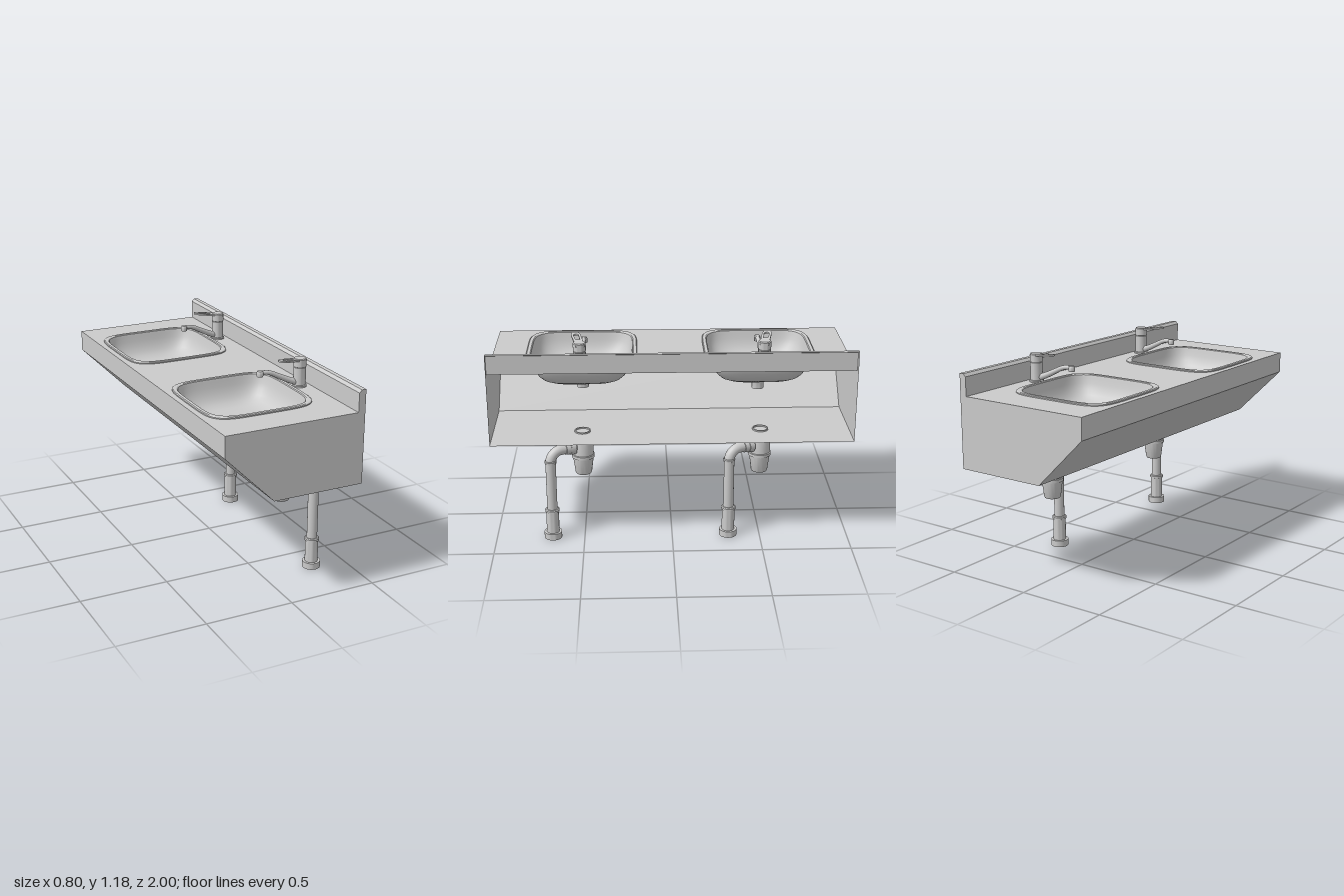
import * as THREE from 'three';
import { toCreasedNormals } from 'three/addons/utils/BufferGeometryUtils.js';

const V = (x, y, z) => new THREE.Vector3(x, y, z);
const grey = new THREE.MeshStandardMaterial({ color: 0xcccccc });
const sheet = new THREE.MeshStandardMaterial({ color: 0xcccccc, side: THREE.DoubleSide });
const TOP = 1.01, BOWL_X = -0.056;

function add(parent, name, geometry, material = grey) {
  const mesh = new THREE.Mesh(geometry, material);
  mesh.name = name;
  parent.add(mesh);
  return mesh;
}

// Turned part from [radius, height] pairs listed bottom to top
function turned(parent, name, profile, x = 0, z = 0) {
  const g = new THREE.LatheGeometry(profile.map(p => new THREE.Vector2(...p)), 32);
  const mesh = add(parent, name, toCreasedNormals(g, 0.6), sheet);
  mesh.position.set(x, 0, z);
  return mesh;
}

// Rounded-square outline with gently bulging sides
function outline(half, n = 5, segments = 96) {
  return Array.from({ length: segments }, (_, i) => {
    const a = (i / segments) * Math.PI * 2, c = Math.cos(a), s = Math.sin(a);
    const r = half / Math.pow(Math.abs(c) ** n + Math.abs(s) ** n, 1 / n);
    return [r * c, r * s];
  });
}

// Surface through outlines given as [half width, height, corner exponent]
function loft(levels) {
  const pos = [], idx = [], m = 96;
  for (const [half, y, n] of levels) for (const [x, z] of outline(half, n, m)) pos.push(x, y, z);
  for (let j = 0; j < levels.length - 1; j++) {
    for (let i = 0; i < m; i++) {
      const a = j * m + i, b = j * m + (i + 1) % m;
      idx.push(a, b, a + m, b, b + m, a + m);
    }
  }
  const g = new THREE.BufferGeometry();
  g.setAttribute('position', new THREE.Float32BufferAttribute(pos, 3));
  g.setIndex(idx);
  g.computeVertexNormals();
  return g;
}

// Thin-walled body, open at the back (+x)
function buildCabinet(root) {
  const cabinet = new THREE.Group();
  cabinet.name = 'cabinet';
  root.add(cabinet);

  const strip = (name, [x0, y0], [x1, y1]) => {
    const g = new THREE.PlaneGeometry(Math.hypot(x1 - x0, y1 - y0), 2);
    g.rotateX(-Math.PI / 2);
    g.rotateZ(Math.atan2(y1 - y0, x1 - x0));
    g.translate((x0 + x1) / 2, (y0 + y1) / 2, 0);
    add(cabinet, name, g, sheet);
  };
  const profile = [[0.4, 0.61], [-0.12, 0.61], [-0.4, 0.89], [-0.4, TOP],
    [0.36, TOP], [0.36, 1.115], [0.375, 1.13], [0.4, 1.13]];
  const names = ['floorPanel', 'slopedPanel', 'frontEdge', 'worktop',
    'splashback', 'splashbackChamfer', 'splashbackTop'];
  names.forEach((name, i) => {
    if (name !== 'worktop') strip(name, profile[i], profile[i + 1]);
  });

  const endShape = new THREE.Shape(profile.map(p => new THREE.Vector2(...p)));
  for (const z of [-1, 1]) {
    add(cabinet, 'endPanel', new THREE.ShapeGeometry(endShape), sheet).position.z = z;
  }

  // Worktop with two basin cut-outs
  const top = new THREE.Shape([[-0.4, -1], [0.36, -1], [0.36, 1], [-0.4, 1]]
    .map(p => new THREE.Vector2(...p)));
  for (const z of [-0.5, 0.5]) {
    top.holes.push(new THREE.Path(outline(0.295).map(([x, y]) =>
      new THREE.Vector2(x + BOWL_X, y + z))));
  }
  add(cabinet, 'worktop', new THREE.ShapeGeometry(top).rotateX(-Math.PI / 2), sheet)
    .position.y = TOP;
}

function buildBasin(unit, tailEnd) {
  const rim = [[0.312, TOP, 5], [0.312, 1.016, 5], [0.307, 1.02, 5],
    [0.29, 1.02, 5], [0.285, 1.016, 5]];
  add(unit, 'basinRim', toCreasedNormals(loft(rim), 0.5), sheet).position.x = BOWL_X;
  const bowl = [[0.285, 1.016, 5], [0.281, 1.0, 5], [0.275, 0.97, 5], [0.265, 0.94, 4.8],
    [0.25, 0.91, 4.5], [0.228, 0.885, 4.2], [0.195, 0.867, 4], [0.15, 0.86, 3.5],
    [0.08, 0.858, 3], [0.001, 0.857, 2]];
  add(unit, 'basinBowl', loft(bowl), sheet).position.x = BOWL_X;
  turned(unit, 'drain', [[0, tailEnd], [0.034, tailEnd], [0.034, 0.855], [0.037, 0.861],
    [0.03, 0.862], [0.025, 0.86], [0, 0.86]]);
}

function buildTap(unit, side) {
  const tap = new THREE.Group();
  tap.name = 'tap';
  tap.position.set(0.3, 0, 0);
  unit.add(tap);
  turned(tap, 'tapBody', [[0.04, TOP], [0.04, 1.017], [0.034, 1.021], [0.034, 1.118],
    [0.032, 1.12], [0.035, 1.122], [0.035, 1.163], [0.031, 1.168], [0, 1.168]]);

  // Tapered spout with a downturned nozzle
  const spout = new THREE.Group();
  spout.name = 'spout';
  spout.rotation.y = -side * 0.075;
  tap.add(spout);
  const path = new THREE.CatmullRomCurve3([V(-0.02, 1.034, 0), V(-0.07, 1.054, 0),
    V(-0.13, 1.083, 0), V(-0.175, 1.104, 0), V(-0.205, 1.11, 0), V(-0.238, 1.11, 0)]);
  const tube = new THREE.TubeGeometry(path, 24, 0.018, 16);
  const p = tube.attributes.position;
  for (let i = 0; i < p.count; i++) {
    const t = Math.floor(i / 17) / 24, c = path.getPointAt(t), v = V().fromBufferAttribute(p, i);
    v.sub(c).multiplyScalar(1 - 0.4 * t).add(c);
    p.setXYZ(i, v.x, v.y, v.z);
  }
  add(spout, 'spoutArm', tube, sheet);
  turned(spout, 'nozzle', [[0, 1.09], [0.017, 1.09], [0.018, 1.095], [0.018, 1.113],
    [0.014, 1.121], [0, 1.122]], -0.234);

  // Flat lever with a long slot
  const shape = new THREE.Shape();
  shape.moveTo(0.03, -0.024);
  shape.lineTo(-0.1, -0.026);
  shape.quadraticCurveTo(-0.15, -0.025, -0.15, 0);
  shape.quadraticCurveTo(-0.15, 0.025, -0.1, 0.026);
  shape.lineTo(0.03, 0.024);
  const slot = new THREE.Path();
  slot.moveTo(-0.05, -0.012);
  slot.lineTo(-0.05, 0.012);
  slot.lineTo(-0.11, 0.014);
  slot.quadraticCurveTo(-0.135, 0, -0.11, -0.014);
  slot.closePath();
  shape.holes.push(slot);
  const g = new THREE.ExtrudeGeometry(shape, { depth: 0.009, bevelEnabled: false, curveSegments: 10 });
  const lever = add(tap, 'lever', g.rotateX(-Math.PI / 2));
  lever.position.y = 1.153;
  lever.rotation.set(0, side * 0.2, -0.12, 'YXZ');
}

function buildTrap(unit) {
  const trap = new THREE.Group();
  trap.name = 'wasteTrap';
  unit.add(trap);
  const cx = 0.203, px = 0.303, pz = 0.18, py = 0.527;
  turned(trap, 'trapCup', [[0, 0.358], [0.043, 0.358], [0.047, 0.366], [0.058, 0.455],
    [0.064, 0.457], [0.064, 0.474], [0.059, 0.477], [0.057, 0.53], [0.05, 0.569],
    [0.042, 0.572], [0.042, 0.6], [0.045, 0.602], [0.045, 0.618], [0.038, 0.618],
    [0.038, 0.6], [0, 0.6]], cx);

  // Outlet pipe: sideways from the cup, then down
  const dir = V(px - cx, 0, pz).normalize();
  const corner = V(px, py, pz), bend = corner.clone().addScaledVector(dir, -0.065);
  const path = new THREE.CurvePath();
  path.add(new THREE.LineCurve3(V(cx, py, 0), bend));
  path.add(new THREE.CubicBezierCurve3(bend, bend.clone().addScaledVector(dir, 0.036),
    V(px, py - 0.029, pz), V(px, py - 0.065, pz)));
  path.add(new THREE.LineCurve3(V(px, py - 0.065, pz), V(px, 0.15, pz)));
  add(trap, 'outletPipe', new THREE.TubeGeometry(path, 90, 0.029, 24), sheet);

  // Union nut on the outlet
  for (const [r, d, len] of [[0.042, 0.073, 0.03], [0.036, 0.1, 0.03]]) {
    const nut = add(trap, 'unionNut', new THREE.CylinderGeometry(r * 0.94, r, len, 24));
    nut.quaternion.setFromUnitVectors(V(0, 1, 0), dir);
    nut.position.set(cx, py, 0).addScaledVector(dir, d);
  }
  turned(trap, 'elbowCollar', [[0.029, 0.46], [0.033, 0.462], [0.034, 0.474], [0.029, 0.478]], px, pz);
  // Hollow floor socket
  turned(trap, 'floorSocket', [[0.03, 0.15], [0.03, 0.03], [0.038, 0.03], [0.038, 0], [0.05, 0],
    [0.05, 0.037], [0.036, 0.037], [0.036, 0.163], [0.041, 0.165], [0.041, 0.176],
    [0.036, 0.181], [0.029, 0.181]], px, pz);
}

export function createModel() {
  const root = new THREE.Group();
  root.name = 'doubleWashbasin';
  buildCabinet(root);
  for (const side of [-1, 1]) {
    const unit = new THREE.Group();
    unit.name = 'washPlace';
    unit.position.z = side * 0.5;
    root.add(unit);
    buildBasin(unit, side > 0 ? 0.805 : 0.785);
    buildTap(unit, side);
    buildTrap(unit);
  }
  return root;
}
